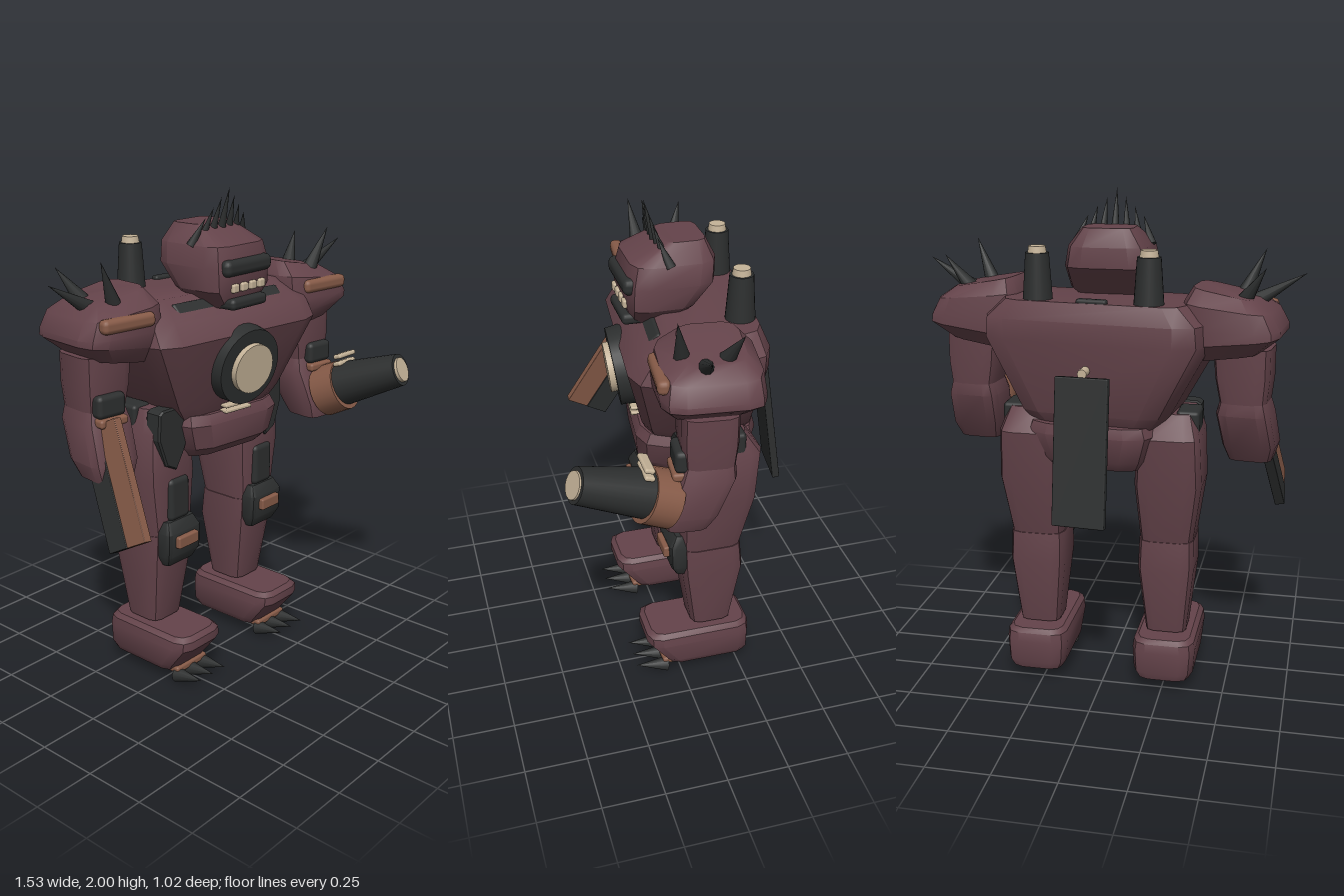
import * as THREE from 'three';
import { toCreasedNormals } from 'three/addons/utils/BufferGeometryUtils.js';
import { RoundedBoxGeometry } from 'three/addons/geometries/RoundedBoxGeometry.js';

const material = (name, color) => {
  const m = new THREE.MeshStandardMaterial({ color });
  m.name = name;
  return m;
};
const V = (x, y, z) => new THREE.Vector3(x, y, z);

export function createModel() {
  const armour = material('maroon armour', 0x64434a);
  const dark = material('dark metal', 0x2d2f2f);
  const copper = material('copper trim', 0x875b48);
  const cream = material('cream', 0xc5b398);

  const model = new THREE.Group();
  model.name = 'robot';
  const upper = new THREE.Group(); // the torso and arms are twisted at the waist
  upper.name = 'upperBody';
  upper.rotation.y = -0.107;
  model.add(upper);

  const add = (parent, name, geometry, mat) => {
    const mesh = new THREE.Mesh(geometry, mat);
    mesh.name = name;
    parent.add(mesh);
    return mesh;
  };

  // Rounded-rectangle sections, bottom to top: [y, centre x, half width, back z, front z, slope along x]
  const loft = (parent, name, mat, sections) => {
    const pos = [], idx = [], n = 12;
    for (const [y, cx, hw, z0, z1, slope = 0] of sections) {
      const hd = (z1 - z0) / 2, cz = (z0 + z1) / 2, r = Math.min(hw, hd) * 0.45;
      for (let k = 0; k < n; k++) {
        const q = Math.floor(k / 3), a = (q + (k % 3) / 2) * Math.PI / 2;
        const sx = q === 0 || q === 3 ? 1 : -1, sz = q < 2 ? 1 : -1;
        const dx = sx * (hw - r) + r * Math.cos(a);
        pos.push(cx + dx, y + slope * dx, cz + sz * (hd - r) + r * Math.sin(a));
      }
    }
    const rows = sections.length;
    for (let j = 0; j < rows - 1; j++) for (let i = 0; i < n; i++) {
      const a = j * n + i, b = j * n + (i + 1) % n;
      idx.push(a, a + n, b, b, a + n, b + n);
    }
    const top = (rows - 1) * n;
    for (let i = 1; i < n - 1; i++) idx.push(0, i, i + 1, top, top + i + 1, top + i);
    const g = new THREE.BufferGeometry();
    g.setAttribute('position', new THREE.Float32BufferAttribute(pos, 3));
    g.setIndex(idx);
    return add(parent, name, toCreasedNormals(g, 0.6), mat);
  };

  const box = (parent, name, mat, [w, h, d], [x, y, z], r = 0.01, rx = 0) => {
    const mesh = add(parent, name, new RoundedBoxGeometry(w, h, d, 2, r), mat);
    mesh.position.set(x, y, z);
    mesh.rotation.x = rx;
    return mesh;
  };

  // Round part running from point a to point b
  const rod = (parent, name, mat, a, b, ra, rb, sides = 24) => {
    const dir = b.clone().sub(a);
    const mesh = add(parent, name, new THREE.CylinderGeometry(rb, ra, dir.length(), sides), mat);
    mesh.position.copy(a).addScaledVector(dir, 0.5);
    mesh.quaternion.setFromUnitVectors(V(0, 1, 0), dir.normalize());
    return mesh;
  };
  const spike = (parent, name, a, b, r) => rod(parent, name, dark, a, b, r, 0, 10);

  // Torso
  loft(upper, 'torso', armour, [
    [1.10, 0, 0.24, -0.30, 0.07], [1.17, 0, 0.30, -0.34, 0.10], [1.45, 0, 0.45, -0.36, 0.17],
    [1.53, 0, 0.44, -0.36, 0.12], [1.60, 0, 0.36, -0.33, 0.01]]);
  loft(upper, 'abdomen', armour, [
    [0.95, 0.01, 0.21, -0.31, 0.07], [0.99, 0.01, 0.235, -0.34, 0.11],
    [1.09, 0.01, 0.265, -0.36, 0.12], [1.13, 0.01, 0.25, -0.35, 0.10]]);

  // Chest reactor and vents
  rod(upper, 'reactorRing', dark, V(0, 1.33, 0.09), V(0, 1.315, 0.185), 0.165, 0.155, 32);
  rod(upper, 'reactorLens', cream, V(0, 1.32, 0.15), V(0, 1.312, 0.21), 0.1, 0.1, 32);
  for (const y of [1.13, 1.152]) box(upper, 'chestVent', cream, [0.14, 0.014, 0.04], [0, y, 0.105], 0.005);
  for (const s of [-1, 1]) {
    box(upper, 'collarPlate', dark, [0.2, 0.03, 0.11], [s * 0.18, 1.54, 0.075], 0.012, 0.75);
    // Exhaust stacks
    const x = s * 0.22;
    rod(upper, 'exhaust', dark, V(x, 1.56, -0.27), V(x, 1.775, -0.27), 0.06, 0.045);
    rod(upper, 'exhaustCap', cream, V(x, 1.77, -0.27), V(x, 1.8, -0.27), 0.037, 0.032);
  }
  box(upper, 'backVent', dark, [0.12, 0.03, 0.035], [-0.01, 1.6, -0.31], 0.01);

  // Back slab
  const slab = box(model, 'backSlab', dark, [0.21, 0.57, 0.03], [0.04, 1.055, -0.445], 0.005, 0.145);
  slab.rotation.y = -0.12;
  rod(model, 'slabPin', cream, V(0.04, 1.35, -0.34), V(0.04, 1.35, -0.41), 0.018, 0.018, 12);

  // Head
  loft(model, 'head', armour, [
    [1.55, 0, 0.10, -0.04, 0.13], [1.62, 0, 0.162, -0.11, 0.15], [1.71, 0, 0.172, -0.19, 0.155],
    [1.79, 0, 0.155, -0.195, 0.135], [1.86, 0, 0.10, -0.16, 0.0]]);
  box(model, 'visor', dark, [0.27, 0.065, 0.06], [0, 1.71, 0.14], 0.025);
  box(model, 'chin', dark, [0.21, 0.045, 0.09], [0, 1.57, 0.125], 0.018);
  for (let i = 0; i < 4; i++) box(model, 'tooth', cream, [0.038, 0.034, 0.03], [(i - 1.5) * 0.052, 1.632, 0.15], 0.008);
  for (let i = -3; i <= 3; i++) {
    const k = Math.abs(i);
    spike(model, 'crownSpike', V(i * 0.05, 1.81 - k * 0.008, 0.01 - k * 0.005), V(i * 0.037, 2 - k * 0.036, 0.06 - k * 0.008), 0.02);
  }

  // Arms
  for (const s of [-1, 1]) {
    const arm = new THREE.Group();
    arm.name = s > 0 ? 'leftArm' : 'rightArm';
    upper.add(arm);
    loft(arm, 'shoulder', armour, [
      [1.40, s * 0.50, 0.12, -0.22, 0.05, s * 0.15], [1.465, s * 0.525, 0.175, -0.28, 0.095, s * 0.12],
      [1.51, s * 0.515, 0.185, -0.28, 0.1], [1.59, s * 0.50, 0.165, -0.27, 0.085, s * -0.1],
      [1.64, s * 0.485, 0.12, -0.22, 0.01, s * -0.18]]);
    box(arm, 'shoulderTrim', copper, [0.24, 0.055, 0.05], [s * 0.525, 1.56, 0.085], 0.02);
    const spikes = [
      [V(0.55, 1.58, -0.07), V(0.77, 1.71, -0.05)],
      [V(0.54, 1.59, -0.14), V(0.64, 1.74, -0.19)],
      [V(0.51, 1.58, 0.0), V(0.60, 1.785, 0.035)]];
    for (const [a, b] of spikes) spike(arm, 'shoulderSpike', a.setX(a.x * s), b.setX(b.x * s), 0.037);
    loft(arm, 'upperArm', armour, [
      [1.21, s * 0.56, 0.09, -0.18, 0.01], [1.31, s * 0.555, 0.105, -0.19, 0.02], [1.43, s * 0.55, 0.11, -0.19, 0.02]]);
    loft(arm, 'forearm', armour, [
      [0.965, s * 0.575, 0.085, -0.08, 0.08], [1.03, s * 0.575, 0.105, -0.12, 0.085],
      [1.17, s * 0.56, 0.105, -0.185, 0.03], [1.225, s * 0.56, 0.09, -0.18, 0.01]]);
    box(arm, 'elbowPad', dark, [0.13, 0.09, 0.06], [s * 0.57, 1.245, 0.015], 0.02);
    box(arm, 'cuff', copper, [0.13, 0.035, 0.06], [s * 0.57, 1.185, 0.025], 0.012);
  }

  // Left arm cannon
  rod(model, 'cannonRing', copper, V(0.578, 1.07, 0.12), V(0.588, 1.115, 0.22), 0.112, 0.108);
  rod(model, 'cannonBarrel', dark, V(0.585, 1.11, 0.19), V(0.62, 1.222, 0.475), 0.098, 0.068);
  rod(model, 'cannonMuzzle', cream, V(0.615, 1.21, 0.45), V(0.621, 1.225, 0.484), 0.055, 0.052);
  for (const y of [1.215, 1.247]) box(model, 'cannonSight', cream, [0.12, 0.02, 0.04], [0.59, y, 0.21], 0.009, -0.3);

  // Right arm blade
  const blade = new THREE.Group();
  blade.name = 'blade';
  const bottom = V(-0.68, 0.765, 0.165), topEnd = V(-0.6, 1.17, -0.06);
  blade.position.copy(bottom).lerp(topEnd, 0.5);
  blade.quaternion.setFromUnitVectors(V(0, 1, 0), topEnd.clone().sub(bottom).normalize());
  model.add(blade);
  box(blade, 'bladeFront', copper, [0.035, 0.47, 0.1], [0, 0, 0.05], 0.003);
  box(blade, 'bladeBack', dark, [0.04, 0.47, 0.1], [0, 0, -0.05], 0.003);

  // Legs
  for (const s of [-1, 1]) {
    const leg = new THREE.Group();
    leg.name = s > 0 ? 'leftLeg' : 'rightLeg';
    leg.position.x = 0.01 + s * 0.265;
    model.add(leg);
    loft(leg, 'thigh', armour, [
      [0.63, 0, 0.105, -0.245, 0], [0.88, s * 0.008, 0.133, -0.30, 0.01],
      [1.08, s * 0.01, 0.122, -0.315, 0.005], [1.17, s * 0.015, 0.085, -0.25, -0.04]]);
    loft(leg, 'shin', armour, [
      [0.24, 0, 0.083, -0.22, -0.05], [0.52, 0, 0.113, -0.262, -0.005], [0.64, 0, 0.11, -0.25, 0]]);
    const plate = new THREE.Shape();
    [[-0.075, 0.10], [-0.08, 0.0], [-0.04, -0.11], [0.01, -0.135], [0.045, -0.08], [0.075, -0.02], [0.07, 0.09], [0.05, 0.11], [-0.06, 0.11]]
      .forEach(([x, y], i) => plate[i ? 'lineTo' : 'moveTo'](-s * x, y));
    const hip = add(leg, 'hipPlate', new THREE.ExtrudeGeometry(plate,
      { depth: 0.06, bevelThickness: 0.008, bevelSize: 0.006, bevelSegments: 1 }), dark);
    hip.position.set(s * 0.03, 1.06, -0.045);
    box(leg, 'hipPad', dark, [0.09, 0.1, 0.14], [s * 0.08, 1.13, -0.17], 0.015);
    box(leg, 'thighPlate', dark, [0.115, 0.18, 0.05], [0, 0.79, 0.0], 0.022);
    loft(leg, 'kneePad', dark, [
      [0.515, 0, 0.075, -0.03, 0.02], [0.56, 0, 0.095, -0.03, 0.045], [0.66, 0, 0.095, -0.03, 0.05], [0.705, 0, 0.075, -0.03, 0.025]]);
    box(leg, 'kneeTrim', copper, [0.115, 0.05, 0.03], [0, 0.622, 0.055], 0.008);
    // Foot with three claws
    loft(leg, 'foot', armour, [
      [0.055, 0, 0.105, -0.29, 0.05], [0.085, 0, 0.122, -0.30, 0.075], [0.175, 0, 0.128, -0.30, 0.145],
      [0.212, 0, 0.123, -0.295, 0.145], [0.23, 0, 0.105, -0.28, 0.125]]);
    box(leg, 'sole', copper, [0.18, 0.03, 0.24], [0, 0.062, -0.04], 0.01);
    for (const x of [-0.073, 0, 0.073]) spike(leg, 'claw', V(x, 0.035, 0.06), V(x, 0.055, 0.195), 0.032);
  }
  return model;
}
